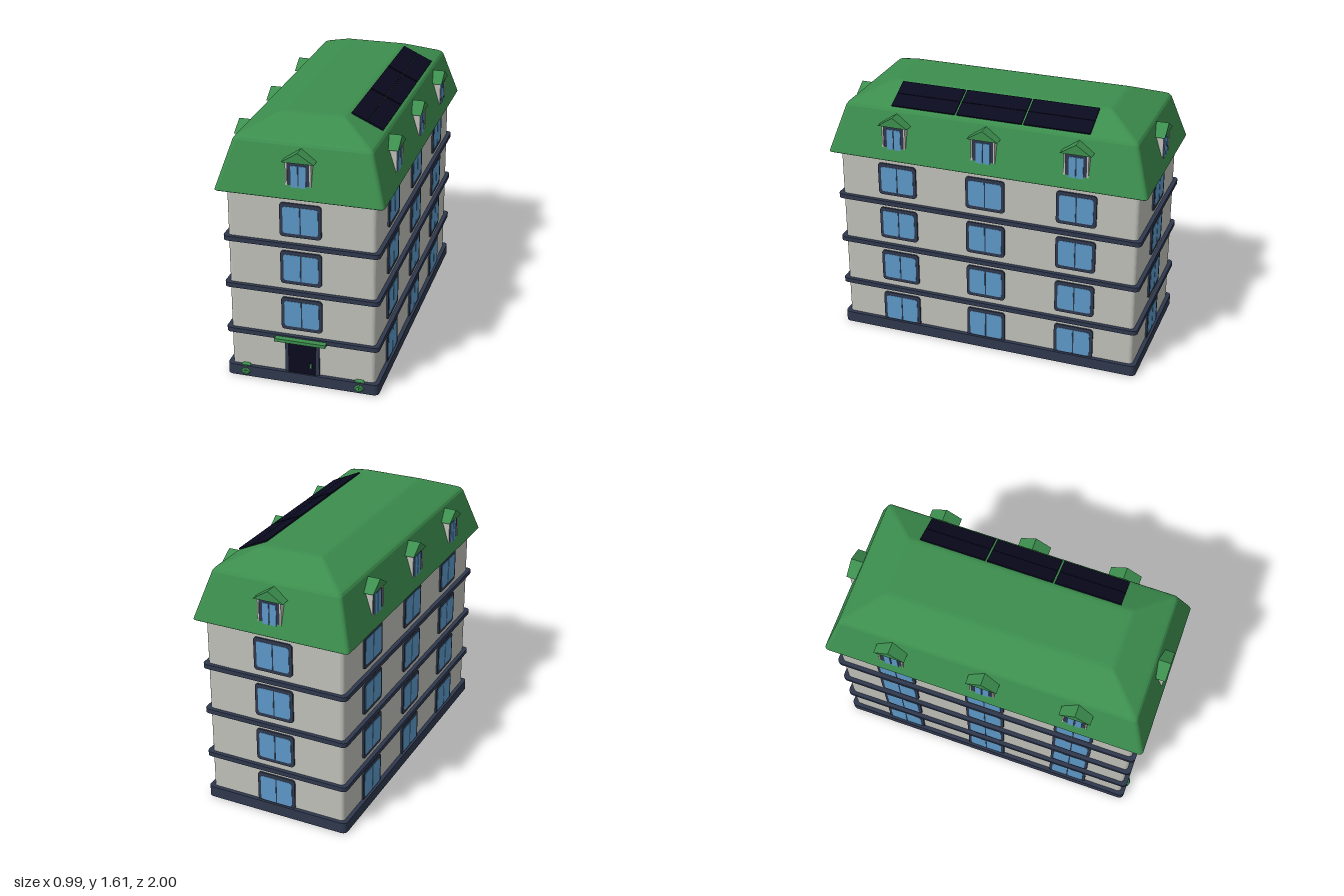
import * as THREE from 'three';

const mat = (name, color) => {
  const m = new THREE.MeshStandardMaterial({ color });
  m.name = name;
  return m;
};

// Rectangle outline with rounded corners, centred on the origin
function roundedRect(w, h, r, cx = 0, cy = 0) {
  const s = new THREE.Shape(), x = w / 2, y = h / 2;
  s.absarc(cx + x - r, cy + y - r, r, 0, Math.PI / 2);
  s.absarc(cx - x + r, cy + y - r, r, Math.PI / 2, Math.PI);
  s.absarc(cx - x + r, cy - y + r, r, Math.PI, Math.PI * 1.5);
  s.absarc(cx + x - r, cy - y + r, r, Math.PI * 1.5, Math.PI * 2);
  return s;
}

const extrude = (shape, depth, segs = 3) =>
  new THREE.ExtrudeGeometry(shape, { depth, bevelEnabled: false, curveSegments: segs });

// Horizontal slab from y0 to y1
const slab = (hx, hz, r, y0, y1) =>
  extrude(roundedRect(hx * 2, hz * 2, r), y1 - y0).rotateX(-Math.PI / 2).translate(0, y0, 0);

// Closed shell through rounded rectangles given as [halfX, halfZ, y, cornerRadius]
function loft(sections) {
  const rings = sections.map(([hx, hz, y, r]) =>
    roundedRect(hx * 2, hz * 2, r).getPoints(3).map(p => new THREE.Vector3(p.x, y, -p.y)));
  const pos = [], n = rings[0].length;
  const tri = (...pts) => pts.forEach(p => pos.push(p.x, p.y, p.z));
  const bottom = new THREE.Vector3(0, sections[0][2], 0);
  const top = new THREE.Vector3(0, sections.at(-1)[2], 0);
  for (let i = 0; i < n; i++) {
    const j = (i + 1) % n;
    for (let k = 0; k < rings.length - 1; k++) {
      const a = rings[k], b = rings[k + 1];
      tri(a[i], a[j], b[j]);
      tri(a[i], b[j], b[i]);
    }
    tri(bottom, rings[0][j], rings[0][i]);
    tri(top, rings.at(-1)[i], rings.at(-1)[j]);
  }
  const g = new THREE.BufferGeometry();
  g.setAttribute('position', new THREE.Float32BufferAttribute(pos, 3));
  g.computeVertexNormals();
  return g;
}

export function createModel() {
  const wall = mat('plaster', 0xc0c0ba), navy = mat('navy trim', 0x2f384e);
  const glass = mat('window glass', 0x5c98c8), green = mat('green', 0x3c8e4e);
  const dark = mat('dark panel', 0x0a0a1f);
  const model = new THREE.Group();
  model.name = 'apartmentBuilding';

  const add = (parent, name, geometry, material, x = 0, y = 0, z = 0) => {
    const m = new THREE.Mesh(geometry, material);
    m.name = name;
    m.position.set(x, y, z);
    parent.add(m);
    return m;
  };
  const box = (w, h, d) => new THREE.BoxGeometry(w, h, d);

  // Walls, plinth and floor bands
  add(model, 'walls', slab(0.44, 0.94, 0.025, 0, 1.25), wall);
  add(model, 'plinth', slab(0.465, 0.965, 0.03, 0.002, 0.07), navy);
  for (const y of [0.305, 0.605, 0.905])
    add(model, 'floorBand', slab(0.465, 0.965, 0.03, y - 0.014, y + 0.014), navy);

  // Mansard roof with softened breaks
  add(model, 'roof', loft([
    [0.49, 0.99, 1.21, 0.02], [0.495, 0.995, 1.214, 0.025], [0.493, 0.993, 1.222, 0.025],
    [0.408, 0.908, 1.497, 0.025], [0.398, 0.898, 1.511, 0.025], [0.382, 0.882, 1.52, 0.02],
    [0.202, 0.702, 1.603, 0.015], [0.185, 0.685, 1.609, 0.01], [0.165, 0.665, 1.611, 0.01],
  ]), green);

  // Window: rounded frame with two panes
  const frameGeo = extrude(roundedRect(0.246, 0.208, 0.02), 0.02);
  const paneShape = new THREE.Shape();
  paneShape.moveTo(0.004, -0.082);
  paneShape.lineTo(0.088, -0.082);
  paneShape.quadraticCurveTo(0.104, -0.082, 0.104, -0.066);
  paneShape.lineTo(0.104, 0.066);
  paneShape.quadraticCurveTo(0.104, 0.082, 0.088, 0.082);
  paneShape.lineTo(0.004, 0.082);
  paneShape.closePath();
  const paneGeo = extrude(paneShape, 0.004);
  const addWindow = (side, x, y, d) => {
    const w = new THREE.Group();
    w.name = 'window';
    w.position.set(x, y, d);
    add(w, 'windowFrame', frameGeo, navy, 0, 0, -0.01);
    add(w, 'rightPane', paneGeo, glass, 0, 0, 0.008);
    add(w, 'leftPane', paneGeo, glass, 0, 0, 0.012).rotation.y = Math.PI;
    w.children[2].position.z = 0.012;
    side.add(w);
  };

  // Dormer: gable, cheeks, recessed frame and panes
  const gableShape = new THREE.Shape([[-0.095, 1.428], [0.095, 1.428], [0, 1.489]]
    .map(p => new THREE.Vector2(...p)));
  const gableGeo = extrude(gableShape, 0.1);
  const addDormer = (side, x, d) => {
    const g = new THREE.Group();
    g.name = 'dormer';
    g.position.set(x, 0, d);
    add(g, 'dormerGable', gableGeo, green, 0, 0, -0.112);
    for (const s of [-1, 1]) {
      add(g, 'dormerCheek', box(0.01, 0.14, 0.1), wall, s * 0.07, 1.36, -0.073);
      add(g, 'dormerPane', box(0.04, 0.13, 0.004), glass, s * 0.0235, 1.343, -0.025);
    }
    add(g, 'dormerFrame', extrude(roundedRect(0.132, 0.148, 0.015), 0.08), navy, 0, 1.352, -0.107);
    side.add(g);
  };

  // Four sides share the same window and dormer rhythm
  const sides = ['front', 'left', 'back', 'right'].map((name, i) => {
    const side = new THREE.Group();
    side.name = name + 'Side';
    side.rotation.y = i * Math.PI / 2;
    const long = i % 2 === 1;
    for (const x of long ? [-0.567, 0, 0.567] : [0]) {
      for (let f = i === 0 ? 1 : 0; f < 4; f++)
        addWindow(side, x, 0.159 + f * 0.301, long ? 0.44 : 0.94);
      addDormer(side, x, long ? 0.499 : 0.999);
    }
    model.add(side);
    return side;
  });

  // Entrance door
  const front = sides[0];
  add(front, 'doorFrame', extrude(roundedRect(0.208, 0.25, 0.02), 0.02), navy, 0, 0.157, 0.932);
  add(front, 'door', extrude(roundedRect(0.17, 0.23, 0.008), 0.005), dark, 0, 0.147, 0.951);
  add(front, 'doorHandle', box(0.014, 0.028, 0.014), green, 0.055, 0.132, 0.96);
  add(front, 'doorCanopy', box(0.31, 0.02, 0.07), green, 0, 0.3, 0.965);

  // Small bushes beside the entrance
  for (const s of [-1, 1]) {
    const low = add(front, 'bush', new THREE.IcosahedronGeometry(0.036, 0), green, s * 0.35, 0.034, 0.95);
    low.scale.y = 0.9;
    const cap = add(front, 'bushTop', new THREE.IcosahedronGeometry(0.038, 0), green, s * 0.35, 0.068, 0.945);
    cap.scale.set(1, 0.42, 0.6);
  }

  // Solar panels on the left roof slope, each in two halves
  const solar = new THREE.Group();
  solar.name = 'solarPanels';
  solar.position.set(0.295, 1.567, -0.005);
  solar.rotation.z = -Math.atan2(0.083, 0.18);
  for (const z of [-0.415, 0, 0.415])
    for (const s of [-1, 1])
      add(solar, 'solarPanel', box(0.1, 0.009, 0.403), dark, s * 0.0515, 0, z);
  model.add(solar);

  return model;
}
